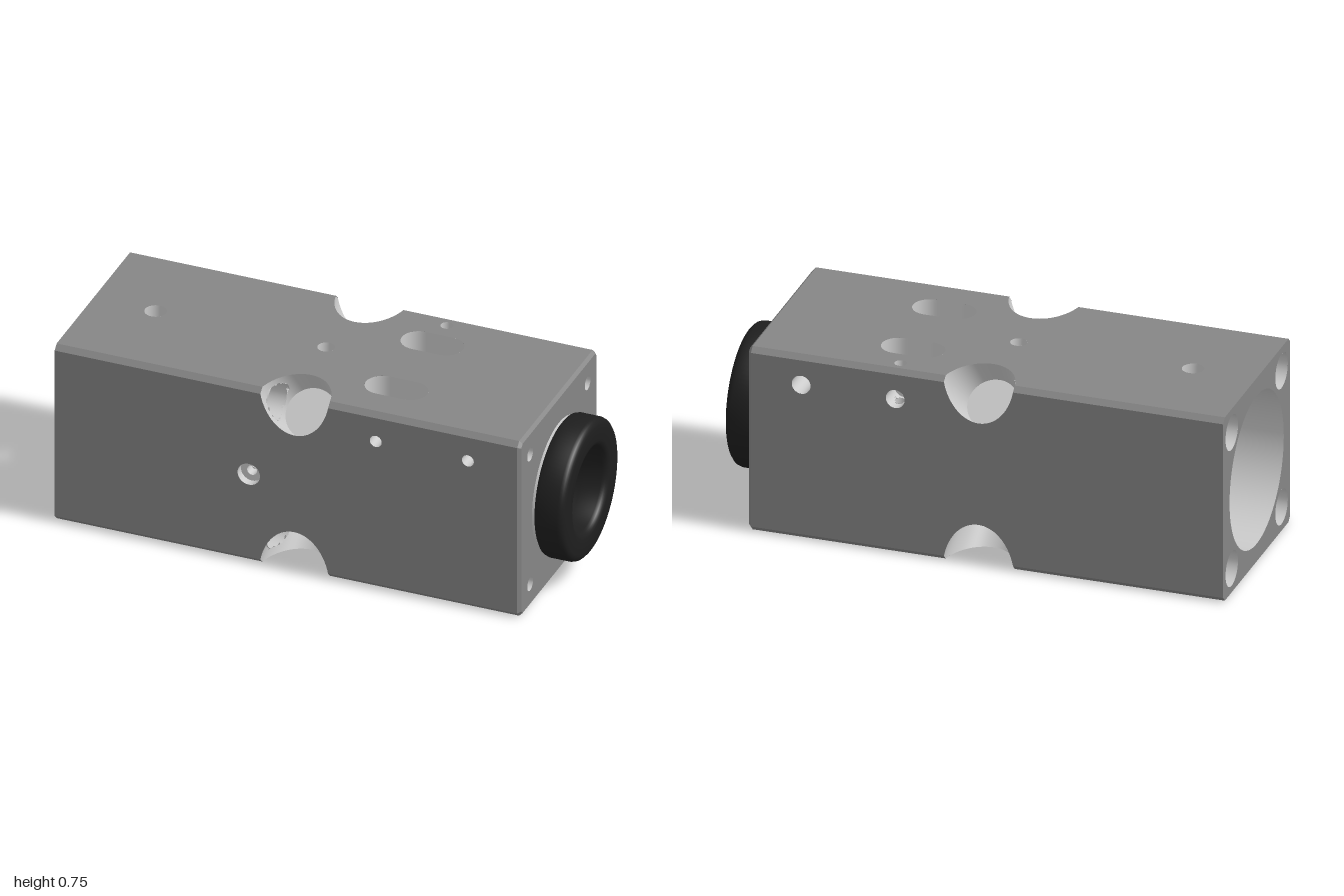
import * as THREE from 'three';
import { toCreasedNormals } from 'three/addons/utils/BufferGeometryUtils.js';

const H = 0.3775;                       // half height and half depth of the block
const X0 = -1, X1 = 0.87;               // block ends
const CH = 0.02, END = 0.012;           // long-edge and end chamfers
const NX = -0.0375, NR = 0.139, NK = 0.165, ND = 0.237; // conical edge notches
const CELL = 0.012;

const material = (color) => new THREE.MeshStandardMaterial({ color, side: THREE.DoubleSide });
const anodised = material(0x868686), bare = material(0xcccccc), black = material(0x1e1e1e);

// Point from cross-axis coordinates u, v and the position t along an axis
const place = (axis, u, v, t) =>
  axis === 'x' ? [t, v, u] : axis === 'y' ? [u, t, v] : [u, v, t];
const split = (axis, p) =>
  axis === 'x' ? [p[2], p[1], p[0]] : axis === 'y' ? [p[0], p[2], p[1]] : p;

// Hole: round, or a slot when its half length l is above zero
const holes = [];
function hole(name, axis, u, v, from, to, r, l = 0) {
  const h = { name, axis, u, v, from, to, r, l };
  h.inside = (p) => {
    const [a, b, t] = split(axis, p);
    return t > from && t < to && Math.hypot(Math.max(Math.abs(a - u) - l, 0), b - v) < r;
  };
  h.rim = (f) => { // point on the outline, f from 0 to 1 by arc length
    const arc = Math.PI * r, half = arc + 2 * l;
    let s = (f % 1) * 2 * half, k = 1;
    if (s >= half) { s -= half; k = -1; }
    if (s < arc) {
      const a = s / r - Math.PI / 2;
      return [u + k * (l + r * Math.cos(a)), v + k * r * Math.sin(a)];
    }
    return [u + k * (l - (s - arc)), v + k * r];
  };
  h.path = () => new THREE.Path(Array.from({ length: 64 }, (_, i) => new THREE.Vector2(...h.rim(i / 64))));
  holes.push(h);
}

// Notch cut into one long edge, sy and sz give the edge
const notchRadius = (d) => NR - NK * d;
const notchStart = (c) => (NR * c) / (1 + NK * c); // depth where the cone leaves a side face
function notch(sy, sz) {
  const point = (a, r, d) => {
    const lat = (r * Math.cos(a)) / Math.SQRT2, out = H - d / Math.SQRT2;
    return [NX + r * Math.sin(a), sy * (out + lat), sz * (out - lat)];
  };
  const inside = ([x, y, z]) => {
    const d = H * Math.SQRT2 - (sy * y + sz * z) / Math.SQRT2;
    const lat = (sy * y - sz * z) / Math.SQRT2;
    return d < ND && Math.hypot(x - NX, lat) < notchRadius(d);
  };
  return { point, inside };
}

// Grid closed in u; cells that fall inside another cut are left out
function surface(fn, nu, nv, cuts = []) {
  const pos = [], idx = [];
  for (let j = 0; j <= nv; j++) for (let i = 0; i < nu; i++) pos.push(...fn(i / nu, j / nv));
  for (let j = 0; j < nv; j++) for (let i = 0; i < nu; i++) {
    const mid = fn((i + 0.5) / nu, (j + 0.5) / nv);
    if (cuts.some((c) => c.inside(mid))) continue;
    const a = j * nu + i, b = j * nu + ((i + 1) % nu);
    idx.push(a, b, b + nu, a, b + nu, a + nu);
  }
  const g = new THREE.BufferGeometry();
  g.setAttribute('position', new THREE.Float32BufferAttribute(pos, 3));
  g.setIndex(idx);
  g.computeVertexNormals();
  return g;
}

// Flat shape laid across an axis at t
function flat(shape, axis, t) {
  const g = new THREE.ShapeGeometry(shape, 48), p = g.attributes.position;
  for (let i = 0; i < p.count; i++) p.setXYZ(i, ...place(axis, p.getX(i), p.getY(i), t));
  g.computeVertexNormals();
  return g;
}

function octagon(h, c) {
  const k = h - c;
  return [[h, -k], [h, k], [k, h], [-k, h], [-h, k], [-h, -k], [-k, -h], [k, -h]];
}
const toShape = (pts) => new THREE.Shape(pts.map(([a, b]) => new THREE.Vector2(a, b)));

export function createModel() {
  holes.length = 0;
  const group = new THREE.Group();
  const body = new THREE.Group();
  body.position.y = H;
  group.add(body);
  const add = (name, geometry, mat) => {
    const m = new THREE.Mesh(geometry, mat);
    m.name = name;
    body.add(m);
  };

  // Holes along the length
  hole('mainBore', 'x', 0, 0, X0, -0.14, 0.305);
  hole('narrowBore', 'x', 0, 0, -0.14, 0.5, 0.135);
  for (const u of [-0.28, 0.28]) for (const v of [-0.28, 0.28]) {
    hole('cornerBore', 'x', u, v, X0, -0.1, 0.07);
    hole('cornerScrewHole', 'x', u, v, 0.72, X1, 0.028);
  }
  // Holes from top to bottom
  hole('crossHole', 'y', -0.75, 0, -H, H, 0.042);
  hole('pinHoleTop', 'y', -0.065, 0, 0.22, H, 0.033);
  hole('pinHoleBottom', 'y', -0.065, 0, -H, -0.22, 0.033);
  hole('smallVerticalHole', 'y', 0.29, -0.315, -H, H, 0.024);
  for (const v of [-0.175, 0.175]) hole('slot', 'y', 0.29, v, -H, H, 0.067, 0.056);
  // Holes from front to back
  hole('frontCounterbore', 'z', -0.22, 0, 0.345, H, 0.045);
  hole('frontPinHole', 'z', -0.22, 0, 0.29, 0.345, 0.02);
  hole('lockHole', 'z', 0.29, 0.2575, -0.2775, H, 0.024);
  hole('lockCounterbore', 'z', 0.29, 0.2575, -H, -0.2775, 0.037);
  hole('clampHoleFront', 'z', 0.66, 0.2575, 0.1, H, 0.024);
  hole('clampHoleBack', 'z', 0.66, 0.2575, -H, -0.1, 0.037);

  const notches = [];
  for (const sy of [-1, 1]) for (const sz of [-1, 1]) notches.push(notch(sy, sz));
  const cuts = [...holes, ...notches];

  // Hole walls
  for (const h of holes) {
    const nu = Math.max(32, Math.round((2 * Math.PI * h.r + 4 * h.l) / CELL));
    const nv = Math.max(2, Math.round((h.to - h.from) / CELL));
    add(h.name, surface((f, g) => place(h.axis, ...h.rim(f), h.from + (h.to - h.from) * g),
      nu, nv, cuts.filter((c) => c !== h)), bare);
  }
  // Hole floors and shoulders
  const floor = (name, axis, u, v, t, r, inner) => {
    const s = new THREE.Shape().absarc(u, v, r, 0, Math.PI * 2);
    if (inner) s.holes.push(new THREE.Path().absarc(u, v, inner, 0, Math.PI * 2));
    add(name, flat(s, axis, t), bare);
  };
  floor('boreShoulder', 'x', 0, 0, -0.14, 0.305, 0.135);
  floor('frontCounterboreFloor', 'z', -0.22, 0, 0.345, 0.045, 0.02);
  floor('lockCounterboreFloor', 'z', 0.29, 0.2575, -0.2775, 0.037, 0.024);
  for (const t of [-0.22, 0.22]) floor('pinHoleFloor', 'y', -0.065, 0, t, 0.033);
  for (const h of holes.filter((c) => c.name === 'cornerScrewHole'))
    floor('screwHoleFloor', 'x', h.u, h.v, h.from, h.r);

  // Notch walls and floors
  const chamferDepth = CH / Math.SQRT2;
  for (const n of notches) {
    add('notchWall', surface((f, g) => {
      const a = f * Math.PI * 2;
      const start = Math.max(notchStart(Math.abs(Math.cos(a))), chamferDepth);
      const d = start + (ND - start) * g;
      return n.point(a, notchRadius(d), d);
    }, 96, 24, holes), bare);
    add('notchFloor', surface((f, g) => n.point(f * Math.PI * 2, notchRadius(ND) * g, ND), 64, 1), bare);
  }

  // Four long faces, each with half a notch in both edges
  const cMin = chamferDepth / notchRadius(chamferDepth), aMax = Math.acos(cMin);
  const edge = Array.from({ length: 33 }, (_, i) => {
    const a = aMax * (1 - i / 16), d = notchStart(Math.cos(a));
    return [NX + notchRadius(d) * Math.sin(a), H - d * Math.SQRT2];
  });
  const e = H - CH, xe = X1 - END;
  for (const axis of ['y', 'z']) for (const t of [-H, H]) {
    const s = toShape([[X0, -e], ...edge.map(([x, v]) => [x, -v]).reverse(), [xe, -e],
      [xe, e], ...edge, [X0, e]]);
    for (const h of holes) if (h.axis === axis && (h.from === t || h.to === t)) s.holes.push(h.path());
    add('sideFace', flat(s, axis, t), anodised);
  }

  // Chamfers along the long edges, broken by the notches
  const gap = edge[0][0] - NX;
  for (const sy of [-1, 1]) for (const sz of [-1, 1])
    for (const [a, b] of [[X0, NX - gap], [NX + gap, xe]]) {
      const g = new THREE.PlaneGeometry(b - a, CH * Math.SQRT2);
      g.rotateX(-sy * sz * Math.PI / 4 + (sz < 0 ? Math.PI : 0));
      g.translate((a + b) / 2, sy * (H - CH / 2), sz * (H - CH / 2));
      add('edgeChamfer', g, anodised);
    }

  // End faces and the chamfer round the right end
  const outer = octagon(H, CH), inner = octagon(H - END, CH - END * 0.586);
  for (const [t, pts] of [[X0, outer], [X1, inner]]) {
    const s = toShape(pts);
    for (const h of holes) if (h.axis === 'x' && (h.from === t || h.to === t)) s.holes.push(h.path());
    if (t === X1) s.holes.push(new THREE.Path().absarc(0, 0, 0.25, 0, Math.PI * 2));
    add('endFace', flat(s, 'x', t), anodised);
  }
  add('endChamfer', toCreasedNormals(surface((f, g) => {
    const i = Math.round(f * 8 - 1e-6) % 8;
    return place('x', ...(g < 0.5 ? outer : inner)[i], g < 0.5 ? xe : X1);
  }, 8, 1), 0.3), anodised);

  // Lens mount turned about the length axis
  const turned = (name, pts, mat) => {
    const g = new THREE.LatheGeometry(pts.map(([r, x]) => new THREE.Vector2(r, x)), 96);
    g.rotateZ(-Math.PI / 2);
    add(name, toCreasedNormals(g, 0.6), mat);
  };
  turned('mountCollar', [[0.25, 0.86], [0.262, 0.86], [0.262, 0.882], [0.25, 0.882]], bare);
  turned('mountBarrel', [[0.25, 0.86], [0.29, 0.86], [0.29, 0.5], [0.135, 0.5], [0.135, 0.62],
    [0.15, 0.62], [0.15, 0.74], [0.165, 0.74], [0.165, 0.9]], black);
  turned('mountRing', [[0.165, 0.9], [0.165, 0.975], [0.169, 0.988], [0.178, 0.997], [0.19, 1],
    [0.25, 1], [0.262, 0.997], [0.272, 0.988], [0.276, 0.975], [0.276, 0.9], [0.272, 0.887],
    [0.262, 0.88], [0.24, 0.88]], black);
  return group;
}
